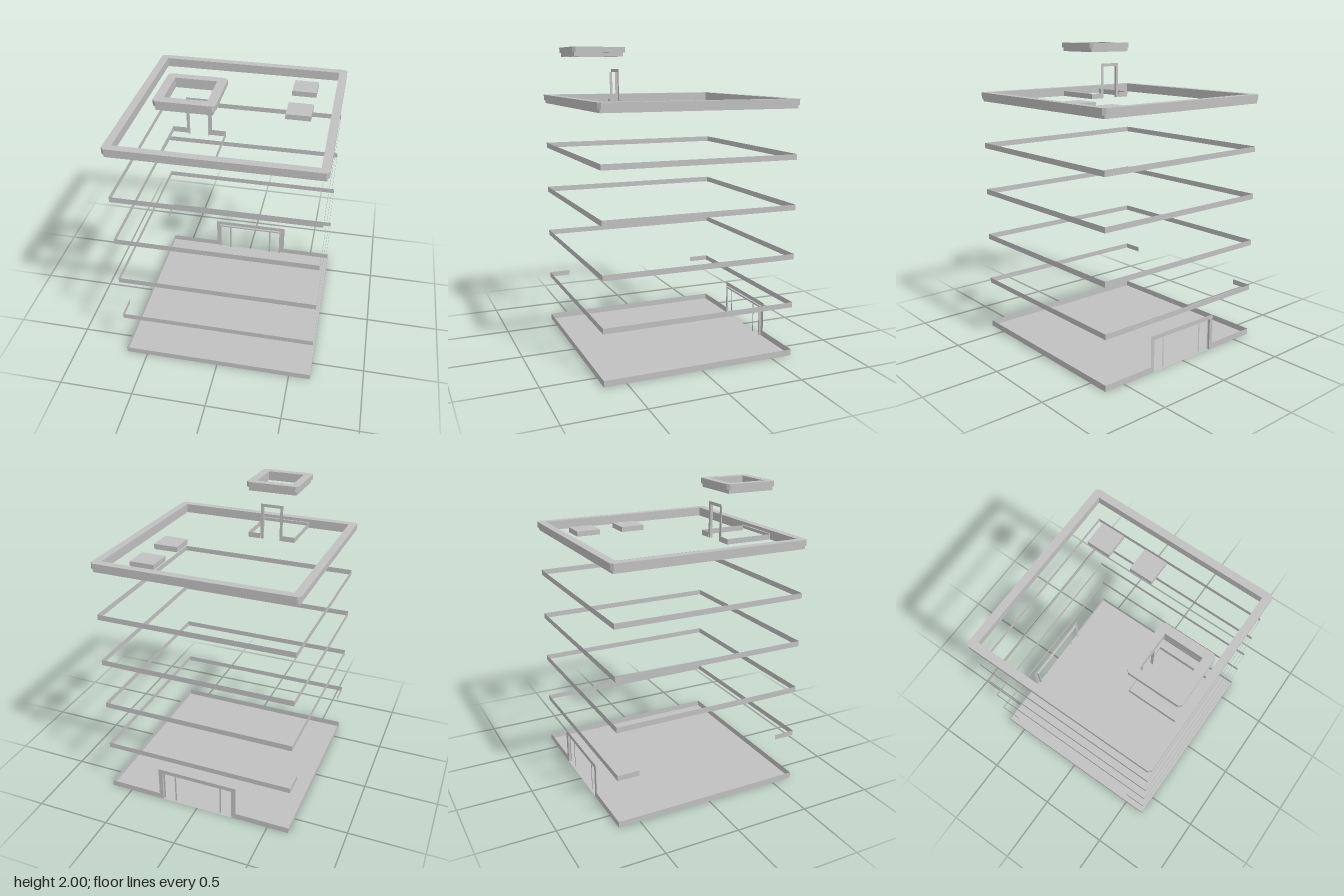
import * as THREE from 'three';

const grey = new THREE.MeshStandardMaterial({ color: 0xc0c0c0, side: THREE.DoubleSide });
grey.name = 'concrete grey';

const W = 0.645; // half width of the building

function add(parent, name, geometry) {
  const mesh = new THREE.Mesh(geometry, grey);
  mesh.name = name;
  parent.add(mesh);
  return mesh;
}

// Plan outlines as [x, z] points, running so that walls face outward
const rect = (x0, x1, z0, z1) => [[x0, z1], [x1, z1], [x1, z0], [x0, z0]];
const chamfered = (x0, x1, z0, z1, c) => [
  [x0 + c, z1], [x1 - c, z1], [x1, z1 - c], [x1, z0 + c],
  [x1 - c, z0], [x0 + c, z0], [x0, z0 + c], [x0, z1 - c],
];
const closed = (pts) => [...pts, pts[0]];

// Thin upright band along a plan outline
function band(pts, y0, y1) {
  const pos = [];
  for (let i = 0; i + 1 < pts.length; i++) {
    const [ax, az] = pts[i], [bx, bz] = pts[i + 1];
    pos.push(ax, y0, az, bx, y0, bz, bx, y1, bz, ax, y0, az, bx, y1, bz, ax, y1, az);
  }
  const g = new THREE.BufferGeometry();
  g.setAttribute('position', new THREE.Float32BufferAttribute(pos, 3));
  g.computeVertexNormals();
  return g;
}

// Flat horizontal plate with an optional hole
function plate(outer, y, hole) {
  const vec = (pts) => pts.map(([x, z]) => new THREE.Vector2(x, -z));
  const shape = new THREE.Shape(vec(outer));
  if (hole) shape.holes.push(new THREE.Path(vec(hole)));
  return new THREE.ShapeGeometry(shape).rotateX(-Math.PI / 2).translate(0, y, 0);
}

// Flat upright door surround, open at the bottom, facing -z
function surround(x0, x1, y0, y1, t, z) {
  const shape = new THREE.Shape([
    [x0, y0], [x0 + t, y0], [x0 + t, y1 - t], [x1 - t, y1 - t],
    [x1 - t, y0], [x1, y0], [x1, y1], [x0, y1],
  ].map(([x, y]) => new THREE.Vector2(-x, y)));
  return new THREE.ShapeGeometry(shape).rotateY(Math.PI).translate(0, 0, z);
}

// Doorway: outer surround, reveal stepping inward, optional inner frame
function doorway(name, x0, x1, y0, y1, t, z, depth, innerT) {
  const g = new THREE.Group();
  g.name = name;
  add(g, 'doorSurround', surround(x0, x1, y0, y1, t, z));
  for (const x of [x0 + t, x1 - t]) {
    add(g, 'doorReveal', band([[x, z], [x, z + depth]], y0, y1 - t));
  }
  add(g, 'doorLintel', plate(rect(x0 + t, x1 - t, z, z + depth), y1 - t));
  if (innerT) add(g, 'innerFrame', surround(x0 + t, x1 - t, y0, y1 - t, innerT, z + depth));
  return g;
}

// Overhanging parapet: lip, ledge, lower band, coping and inner wall
function parapet(name, body, lip, inner, y0, yLip, y1, innerPath) {
  const g = new THREE.Group();
  g.name = name;
  const lipPts = chamfered(...lip, 0.018);
  add(g, 'lowerBand', band(closed(rect(...body)), y0, yLip));
  add(g, 'lipLedge', plate(lipPts, yLip, rect(...body)).scale(1, 1, 1));
  add(g, 'lip', band(closed(lipPts), yLip, y1));
  add(g, 'coping', plate(lipPts, y1, rect(...inner)));
  add(g, 'innerWall', band(innerPath || closed(rect(...inner)).reverse(), y0, y1));
  return g;
}

export function createModel() {
  const model = new THREE.Group();
  model.name = 'building';
  const full = rect(-W, W, -W, W);

  // Ground slab, with its rim broken at the entrance
  add(model, 'groundFloor', plate(full, 0));
  add(model, 'groundRim',
    band([[-0.28, -W], [-W, -W], [-W, W], [W, W], [W, -W], [0.28, -W]], 0, 0.04));

  // Rear entrance with two slim posts
  const entrance = doorway('entrance', -0.28, 0.28, 0, 0.245, 0.028, -W, 0.015, 0.011);
  for (const x of [-0.163, 0.163]) {
    add(entrance, 'entrancePost', new THREE.PlaneGeometry(0.011, 0.206)
      .rotateY(Math.PI).translate(x, 0.103, -W + 0.015));
  }
  model.add(entrance);

  // Floor bands; the lowest is open along the left-hand wall
  add(model, 'floorBand1',
    band([[-W, 0.5], [-W, W], [W, W], [W, -W], [-W, -W], [-W, -0.5]], 0.33, 0.365));
  for (let i = 1; i < 4; i++) {
    const y = 0.33 + i * 0.323;
    add(model, 'floorBand' + (i + 1), band(closed(full), y, y + 0.036));
  }

  // Roof parapet; its inner wall is open behind the stair house
  const r = 0.606;
  model.add(parapet('roofParapet', [-W, W, -W, W], [-0.658, 0.658, -0.658, 0.658],
    [-r, r, -r, r], 1.62, 1.641, 1.68,
    [[0, r], [r, r], [r, -r], [-r, -r], [-r, r], [-0.325, r]]));

  // Stair house: base bands beside the door, doorway and parapet cap
  const stair = new THREE.Group();
  stair.name = 'stairHouse';
  add(stair, 'stairBaseLeft', band([[0, r], [0, 0.28], [-0.085, 0.28]], 1.62, 1.655));
  add(stair, 'stairBaseRight', band([[-0.24, 0.28], [-0.325, 0.28], [-0.325, r]], 1.62, 1.655));
  stair.add(doorway('stairDoor', -0.24, -0.085, 1.62, 1.86, 0.02, 0.282, 0.018, 0));
  stair.add(parapet('stairCap', [-0.325, 0, 0.28, 0.605], [-0.339, 0.014, 0.265, 0.618],
    [-0.286, -0.041, 0.317, 0.561], 1.94, 1.966, 2.0));
  model.add(stair);

  // Roof vents, open underneath
  for (const z of [-0.406, -0.083]) {
    const vent = new THREE.Group();
    vent.name = 'roofVent';
    const pts = rect(0.32, 0.482, z - 0.081, z + 0.081);
    add(vent, 'ventTop', plate(pts, 1.655));
    add(vent, 'ventSides', band(closed(pts), 1.62, 1.655));
    model.add(vent);
  }
  return model;
}
